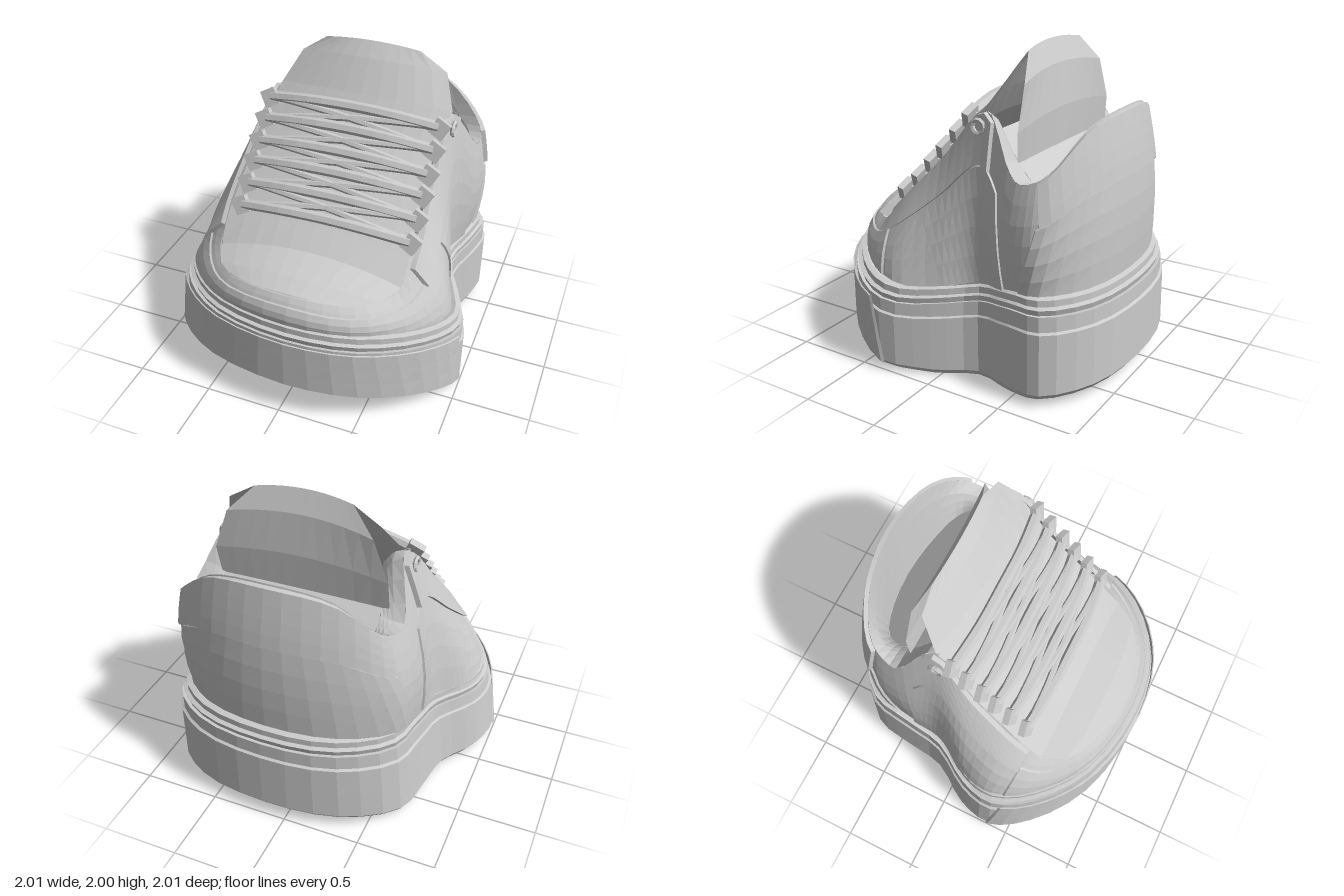
import * as THREE from 'three';

const N = 18; // stations around the shoe: 0 = toe, 9 = heel, +x side first
const V = (x, y, z) => new THREE.Vector3(x, y, z);
const lerp = THREE.MathUtils.lerp;

// Plan outline of the sole (x, z)
const OUTLINE = [
  [0.05, 1], [0.5, 0.92], [0.85, 0.66], [1, 0.36], [0.9, 0.05], [0.78, -0.22],
  [0.86, -0.48], [0.88, -0.7], [0.62, -0.92], [0.15, -1], [-0.35, -0.93], [-0.68, -0.7],
  [-0.74, -0.42], [-0.78, -0.15], [-0.95, 0.12], [-1, 0.36], [-0.85, 0.63], [-0.5, 0.89],
];
// Top edge of the upper: toe box, eyelet rows, ankle dips and heel (x, y, z)
const TOPLINE = [
  [0.05, 0.86, 0.86], [0.42, 0.82, 0.78], [0.62, 0.84, 0.58], [0.66, 1.02, 0.4], [0.64, 1.35, 0.08],
  [0.66, 1.66, -0.22], [0.8, 1.31, -0.5], [0.77, 1.36, -0.66], [0.5, 1.59, -0.78], [0.12, 1.65, -0.83],
  [-0.25, 1.59, -0.78], [-0.5, 1.36, -0.66], [-0.57, 1.31, -0.48], [-0.47, 1.66, -0.22],
  [-0.54, 1.35, 0.08], [-0.58, 1.02, 0.4], [-0.55, 0.84, 0.58], [-0.38, 0.83, 0.78],
];
// Heights along z
const SOLE_BOTTOM = [[-1, 0.07], [-0.5, 0.03], [0, 0], [0.35, 0.03], [0.6, 0.12], [1, 0.24]];
const SOLE_TOP = [[-1, 0.58], [-0.5, 0.57], [-0.1, 0.49], [0.2, 0.46], [0.5, 0.5], [1, 0.6]];
// Vamp and tongue rows: z, y, right x, left x, side drop, side set-back
const VAMP = [
  [0.87, 0.85, -0.38, 0.42, 0.03, 0.08], [0.75, 0.9, -0.5, 0.55, 0.07, 0.05],
  [0.55, 0.95, -0.58, 0.64, 0.1, 0], [0.42, 1.07, -0.58, 0.64, 0.08, 0],
  [0.2, 1.3, -0.55, 0.63, 0.08, 0], [0, 1.52, -0.52, 0.63, 0.08, 0.02],
];
const TONGUE = [
  [0, 1.52, -0.52, 0.63, 0.08, 0.02], [-0.14, 1.72, -0.46, 0.68, 0.05, 0.08],
  [-0.26, 1.91, -0.36, 0.6, 0.05, 0.08], [-0.33, 2, -0.2, 0.42, 0.03, 0.02],
  [-0.39, 1.86, -0.35, 0.58, 0.05, 0.03], [-0.42, 1.6, -0.45, 0.67, 0.05, 0.01],
  [-0.41, 1.3, -0.46, 0.64, 0, 0],
];

const table = (rows, t) => {
  if (t <= rows[0][0]) return rows[0][1];
  for (let i = 1; i < rows.length; i++) {
    const [a, ya] = rows[i - 1], [b, yb] = rows[i];
    if (t <= b) return lerp(ya, yb, (t - a) / (b - a));
  }
  return rows[rows.length - 1][1];
};

const outlineCurve = new THREE.CatmullRomCurve3(OUTLINE.map(([x, z]) => V(x, 0, z)), true);
const toplineCurve = new THREE.CatmullRomCurve3(TOPLINE.map((p) => V(...p)), true);
const onCurve = (curve, u) => curve.getPoint((((u % N) + N) % N) / N);

const soleTop = (z) => table(SOLE_TOP, z);
const ring = (u, scale) => {
  const p = onCurve(outlineCurve, u);
  return V(0.05 + (p.x - 0.05) * scale, 0, p.z * scale);
};

// Side of the sole, h = 0 at the ground and 1 at its top
function soleWall(u, h, scale = 1) {
  const p = ring(u, scale);
  p.y = lerp(table(SOLE_BOTTOM, p.z), soleTop(p.z), h);
  if (p.x < 0) p.x *= 1 - 0.06 * h;
  return p;
}

// Side of the upper, v = 0 at the sole and 1 at the top edge
function upperWall(u, v, offset = 0) {
  const base = ring(u, 0.9), top = onCurve(toplineCurve, u);
  base.y = soleTop(base.z) + 0.04;
  const p = base.lerp(top, v);
  const out = V(p.x - 0.1, 0, p.z - THREE.MathUtils.clamp(p.z, -0.45, 0.4)).normalize();
  return p.addScaledVector(out, 0.045 * Math.sin(Math.PI * v) + offset);
}

function liningWall(u, t) {
  const p = onCurve(toplineCurve, u);
  const floorY = 1.1 + 0.8 * (p.z + 0.75);
  return V(0.12 + (p.x - 0.12) * lerp(1, 0.78, Math.sqrt(t)), lerp(p.y, floorY, t), -0.4 + (p.z + 0.4) * lerp(1, 0.9, t));
}

// Faceted sheet over parameters s and t from 0 to 1
function sheet(fn, nu, nv) {
  const pos = [];
  const at = (i, j) => fn(i / nu, j / nv);
  for (let j = 0; j < nv; j++) for (let i = 0; i < nu; i++) {
    const a = at(i, j), b = at(i + 1, j), c = at(i + 1, j + 1), d = at(i, j + 1);
    for (const p of [a, b, c, a, c, d]) pos.push(p.x, p.y, p.z);
  }
  const g = new THREE.BufferGeometry();
  g.setAttribute('position', new THREE.Float32BufferAttribute(pos, 3));
  g.computeVertexNormals();
  return g;
}

// Raised panel laid on a wall; its border folds down to the wall
function panel(wall, uRange, v0, v1, thick, nu = 14, nv = 6) {
  const edge = (k) => (k <= 0 || k >= 1 ? 0 : 1);
  const squeeze = (k, n) => (k <= 0 ? 0 : k >= 1 ? 1 : (k - 1 / n) / (1 - 2 / n) * 0.98 + 0.01);
  return sheet((s, t) => {
    const v = lerp(v0, v1, squeeze(t, nv));
    const [a, b] = uRange(v);
    return wall(lerp(a, b, squeeze(s, nu)), v, thick * edge(s) * edge(t));
  }, nu, nv);
}

function rowSheet(rows) {
  return sheet((s, t) => {
    const [z, y, xr, xl, drop, back] = rows[Math.round(t * (rows.length - 1))];
    const k = (2 * s - 1) ** 2;
    return V(lerp(xr, xl, s), y - drop * k, z - back * k);
  }, 10, rows.length - 1);
}

export function createModel() {
  const model = new THREE.Group();
  const grey = new THREE.MeshStandardMaterial({ color: 0xcccccc, side: THREE.DoubleSide });
  grey.name = 'light grey';
  const add = (name, geometry) => {
    const mesh = new THREE.Mesh(geometry.index ? geometry.toNonIndexed() : geometry, grey);
    mesh.geometry.computeVertexNormals();
    mesh.name = name;
    model.add(mesh);
    return mesh;
  };

  // Thick sole, with flat underside and a shallow upper lip
  const soleRows = [[0, 0], [0, 0.97], [0.07, 1], [0.45, 1], [0.8, 1], [0.82, 0.985], [1, 0.985], [1, 0.85]];
  add('sole', sheet((s, t) => soleWall(s * N, ...soleRows[Math.round(t * 7)]), 54, 7));
  add('toeBumper', panel((u, h, o) => soleWall(u, h, 1 + o), (h) => [-3.1 + 0.3 * h, 3.1 - 0.3 * h], 0.04, 0.98, 0.008, 20, 5));

  // Stepped welt between sole and upper
  const weltRows = [[0.965, 0], [0.975, 0.035], [0.95, 0.045], [0.95, 0.085], [0.92, 0.095], [0.87, 0.08]];
  add('welt', sheet((s, t) => {
    const [scale, lift] = weltRows[Math.round(t * 5)];
    const p = soleWall(s * N, 1, scale);
    p.y += lift;
    return p;
  }, 54, 5));

  // Upper body, toe and tongue
  add('upper', sheet((s, t) => upperWall(s * N, t), 72, 6));
  add('vamp', rowSheet(VAMP));
  add('tongue', rowSheet(TONGUE));

  // Panels stitched over the upper
  add('toeCap', panel(upperWall, () => [-2.7, 2.7], 0.05, 0.75, 0.012, 20));
  add('heelCounter', panel(upperWall, (v) => [6.3 + 0.9 * v, 11.7 - 0.9 * v], 0.05, 0.63, 0.014, 18));
  add('heelTab', panel(upperWall, (v) => [7.3 - 0.5 * v, 10.7 + 0.5 * v], 0.63, 0.99, 0.03, 18));
  for (const side of [1, -1]) {
    const range = (f) => (v) => f(v).map((u) => (side > 0 ? u : N - u));
    const tag = side > 0 ? 'left' : 'right';
    add(tag + 'QuarterPanel', panel(upperWall, range((v) => [4.2 - 0.9 * v, 5.9 - 0.5 * v]), 0.05, 0.72, 0.014));
    add(tag + 'Eyestay', panel(upperWall, range(() => [2.65, 5.25]), 0.72, 0.99, 0.03));
    // Top eyelet
    const eyelet = add(tag + 'Eyelet', new THREE.TorusGeometry(0.04, 0.014, 5, 10));
    eyelet.position.copy(upperWall(side > 0 ? 4.9 : N - 4.9, 0.92, 0.035));
    eyelet.rotation.y = side * Math.PI / 2;
  }

  // Collar lining and footbed
  add('lining', sheet((s, t) => liningWall(4.9 + 8.2 * s, t), 32, 4));
  add('footbed', sheet((s, t) => liningWall(5 + 4 * t, 1).lerp(liningWall(13 - 4 * t, 1), s), 6, 10));

  // Laces: straight bars with thin diagonals beneath
  const lace = (name, a, b, lift, radius) => {
    const mid = a.clone().lerp(b, 0.5).add(V(0, lift, lift * 0.7));
    const q1 = a.clone().lerp(mid, 0.5).add(V(0, lift * 0.3, 0.015));
    const q2 = b.clone().lerp(mid, 0.5).add(V(0, lift * 0.3, 0.015));
    add(name, new THREE.TubeGeometry(new THREE.CatmullRomCurve3([a, q1, mid, q2, b]), 12, radius, 6));
  };
  const bars = [[0.38, 1.12], [0.27, 1.22], [0.17, 1.33], [0.08, 1.43], [-0.02, 1.54], [-0.11, 1.65]];
  const end = ([z, y], side) => V(side > 0 ? 0.63 : -0.48, y - 0.035, z + 0.015);
  bars.forEach((bar, i) => {
    lace('lace' + (i + 1), end(bar, -1), end(bar, 1), 0.055, 0.034);
    for (const side of [1, -1]) {
      // Loop over the eyestay edge
      const loop = add('laceLoop', new THREE.BoxGeometry(0.1, 0.11, 0.045));
      loop.position.copy(end(bar, side)).add(V(side * 0.01, -0.01, 0));
      loop.rotation.set(-0.3, 0, side * -0.5);
      if (i < 5) lace('crossLace', end(bar, side), end(bars[i + 1], -side), 0.045, 0.022);
    }
  });
  return model;
}
